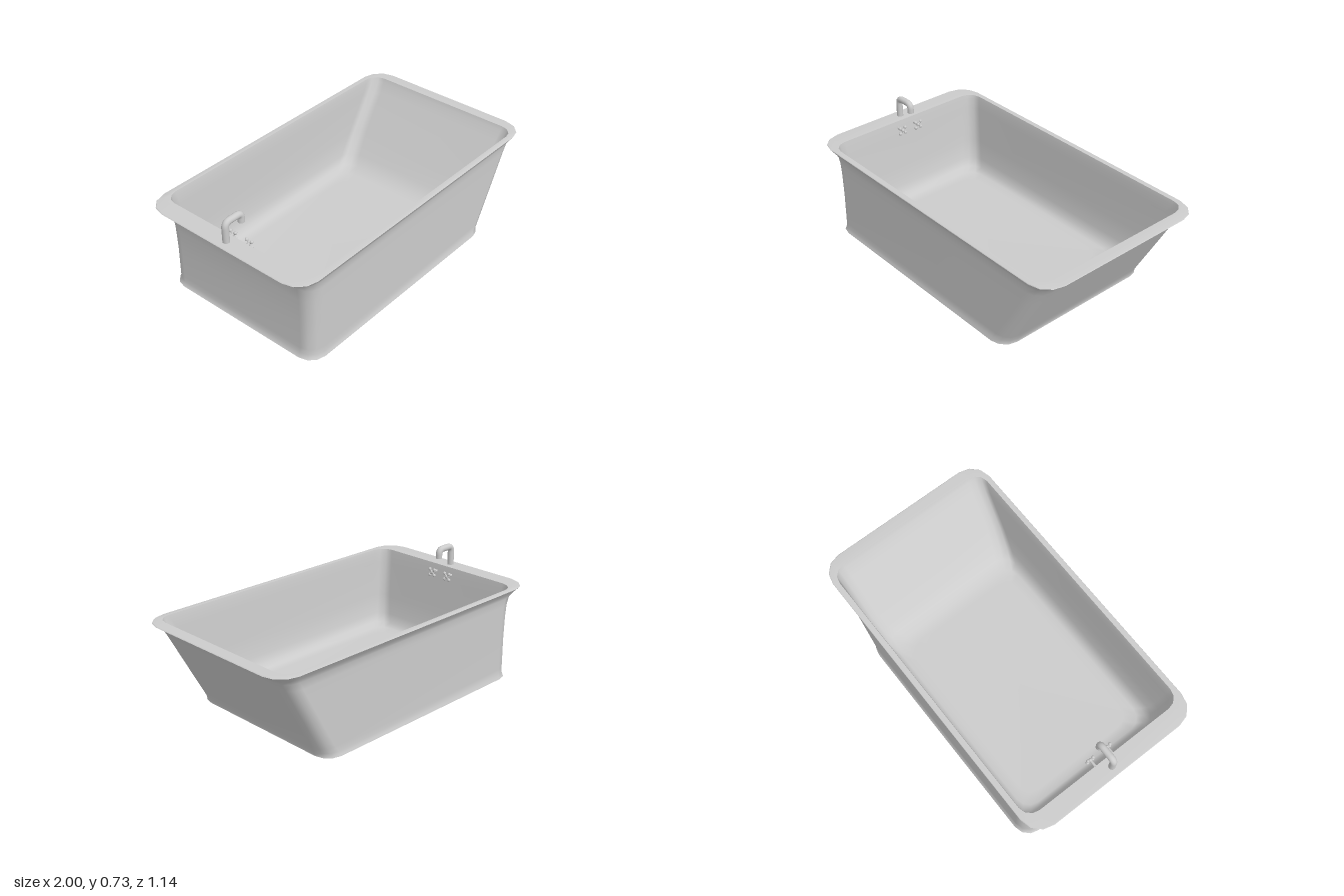
import * as THREE from 'three';

const material = new THREE.MeshStandardMaterial({ color: 0xcccccc });
const CORNER_STEPS = 3;

function addMesh(parent, name, geometry) {
  const mesh = new THREE.Mesh(geometry, material);
  mesh.name = name;
  parent.add(mesh);
  return mesh;
}

// Rounded rectangle outline at height y, running from +x towards +z
function ring([y, xMin, xMax, halfZ, r]) {
  const corners = [
    [xMax - r, halfZ - r], [xMin + r, halfZ - r],
    [xMin + r, r - halfZ], [xMax - r, r - halfZ],
  ];
  const points = [];
  corners.forEach(([cx, cz], q) => {
    for (let i = 0; i <= CORNER_STEPS; i++) {
      const a = (q + i / CORNER_STEPS) * Math.PI / 2;
      points.push(cx + r * Math.cos(a), y, cz + r * Math.sin(a));
    }
  });
  return points;
}

// Skin stretched over a series of rounded rectangles
function loft(sections) {
  const n = 4 * (CORNER_STEPS + 1);
  const index = [];
  for (let k = 0; k < sections.length - 1; k++) {
    for (let i = 0; i < n; i++) {
      const a = k * n + i, b = k * n + (i + 1) % n;
      index.push(a, a + n, b, b, a + n, b + n);
    }
  }
  const geometry = new THREE.BufferGeometry();
  geometry.setAttribute('position', new THREE.Float32BufferAttribute(sections.flatMap(ring), 3));
  geometry.setIndex(index);
  geometry.computeVertexNormals();
  return geometry;
}

// Cross handle on a stem that points along +x
function createTap() {
  const tap = new THREE.Group();
  const stem = addMesh(tap, 'tapStem', new THREE.CylinderGeometry(0.007, 0.009, 0.06, 10));
  stem.rotation.z = -Math.PI / 2;
  stem.position.x = -0.025;
  addMesh(tap, 'tapHub', new THREE.SphereGeometry(0.011, 10, 8));
  for (let i = 0; i < 4; i++) {
    const a = Math.PI / 4 + i * Math.PI / 2;
    const arm = addMesh(tap, 'tapArm', new THREE.CylinderGeometry(0.005, 0.005, 0.024, 8));
    arm.position.set(0, 0.012 * Math.cos(a), 0.012 * Math.sin(a));
    arm.rotation.x = a;
    const knob = addMesh(tap, 'tapKnob', new THREE.SphereGeometry(0.01, 10, 8));
    knob.position.set(0, 0.026 * Math.cos(a), 0.026 * Math.sin(a));
  }
  return tap;
}

// Hooked pipe standing on the rim
function createSpout() {
  const spout = new THREE.Group();
  const v = (x, y) => new THREE.Vector3(x, y, 0);
  const path = new THREE.CurvePath();
  path.add(new THREE.LineCurve3(v(-0.945, 0.57), v(-0.945, 0.67)));
  path.add(new THREE.QuadraticBezierCurve3(v(-0.945, 0.67), v(-0.945, 0.705), v(-0.91, 0.705)));
  path.add(new THREE.LineCurve3(v(-0.91, 0.705), v(-0.86, 0.705)));
  path.add(new THREE.QuadraticBezierCurve3(v(-0.86, 0.705), v(-0.83, 0.705), v(-0.83, 0.675)));
  path.add(new THREE.LineCurve3(v(-0.83, 0.675), v(-0.83, 0.65)));
  addMesh(spout, 'spoutPipe', new THREE.TubeGeometry(path, 48, 0.02, 16));
  const mouth = addMesh(spout, 'spoutMouth', new THREE.CircleGeometry(0.02, 16));
  mouth.rotation.x = Math.PI / 2;
  mouth.position.set(-0.83, 0.65, 0);
  return spout;
}

export function createModel() {
  const model = new THREE.Group();
  model.name = 'bathtub';

  // Section rows: height, left x, right x, half depth, corner radius
  addMesh(model, 'underside', loft([
    [0, -0.12, -0.12, 0, 0],
    [0, -0.80, 0.56, 0.44, 0.1],
    [0.008, -0.90, 0.66, 0.545, 0.1],
  ]));
  addMesh(model, 'outerShell', loft([
    [0.008, -0.90, 0.66, 0.545, 0.1],
    [0.016, -0.895, 0.66, 0.543, 0.1],
    [0.035, -0.888, 0.665, 0.536, 0.095],
    [0.07, -0.886, 0.682, 0.535, 0.09],
    [0.25, -0.883, 0.78, 0.535, 0.09],
    [0.40, -0.887, 0.861, 0.535, 0.09],
    [0.48, -0.896, 0.904, 0.535, 0.09],
    [0.525, -0.91, 0.93, 0.537, 0.09],
    [0.55, -0.94, 0.952, 0.549, 0.1],
    [0.575, -0.99, 0.99, 0.566, 0.12],
    [0.58, -1, 1, 0.57, 0.13],
  ]));
  addMesh(model, 'rim', loft([
    [0.58, -1, 1, 0.57, 0.13],
    [0.585, -0.995, 0.995, 0.567, 0.13],
    [0.585, -0.89, 0.928, 0.537, 0.08],
  ]));
  addMesh(model, 'basin', loft([
    [0.585, -0.89, 0.928, 0.537, 0.08],
    [0.56, -0.886, 0.918, 0.532, 0.08],
    [0.50, -0.878, 0.88, 0.526, 0.08],
    [0.28, -0.853, 0.72, 0.512, 0.08],
    [0.16, -0.832, 0.63, 0.495, 0.085],
    [0.11, -0.81, 0.575, 0.475, 0.09],
    [0.085, -0.78, 0.515, 0.445, 0.09],
    [0.078, -0.72, 0.45, 0.39, 0.09],
    [0.075, -0.12, -0.12, 0, 0],
  ]));

  const spout = createSpout();
  spout.name = 'spout';
  model.add(spout);
  for (const side of [-1, 1]) {
    const tap = createTap();
    tap.name = side > 0 ? 'frontTap' : 'backTap';
    tap.position.set(-0.84, 0.54, side * 0.06);
    model.add(tap);
  }
  return model;
}
